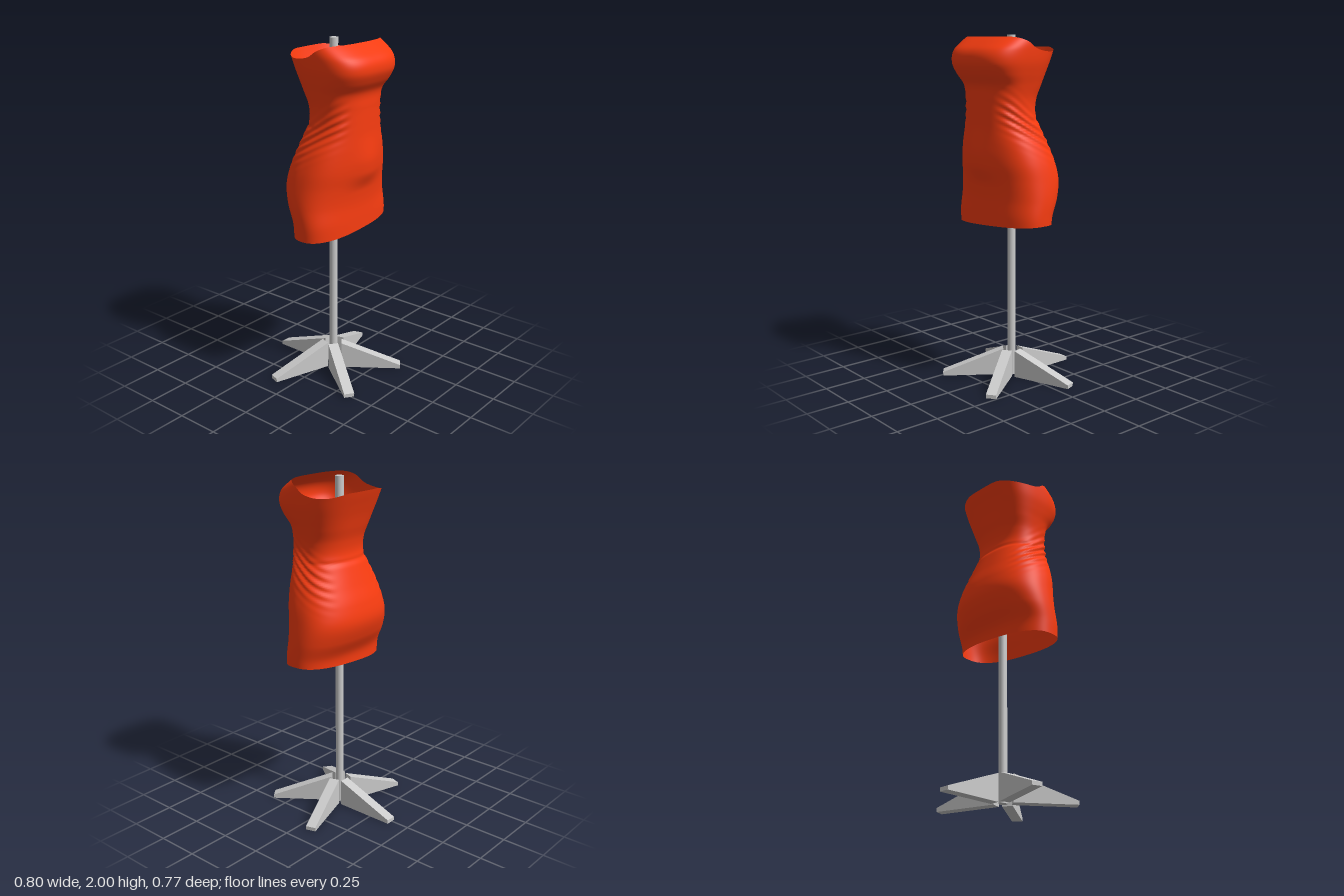
import * as THREE from 'three';

const CX = -0.005, CZ = 0.025; // stand axis

// Dress sections: height, half width, front z, back z, squareness
const SECTIONS = [
  [0.91, 0.337, 0.23, -0.08, 2.5],
  [1.0, 0.34, 0.23, -0.088, 2.5],
  [1.1, 0.338, 0.23, -0.138, 2.4],
  [1.2, 0.326, 0.24, -0.165, 2.4],
  [1.3, 0.307, 0.255, -0.15, 2.4],
  [1.4, 0.275, 0.262, -0.115, 2.4],
  [1.5, 0.232, 0.267, -0.08, 2.4],
  [1.57, 0.212, 0.266, -0.055, 2.5],
  [1.65, 0.21, 0.265, -0.06, 2.6],
  [1.73, 0.226, 0.27, -0.084, 2.8],
  [1.79, 0.243, 0.31, -0.103, 3],
  [1.85, 0.257, 0.334, -0.125, 3.1],
  [1.92, 0.263, 0.315, -0.152, 3.1],
  [1.96, 0.263, 0.265, -0.165, 3.1],
  [1.99, 0.26, 0.22, -0.17, 3.1],
];

const smooth = THREE.MathUtils.smoothstep;
const bell = (x, c, w) => Math.exp(-(((x - c) / w) ** 2));

function interpolant(rows) {
  const size = rows[0].length - 1;
  return new THREE.CubicInterpolant(
    rows.map(r => r[0]), rows.flatMap(r => r.slice(1)), size, new Float32Array(size));
}

// Neckline height from back (-1) to front (1)
const neckline = interpolant([[-1, 1.935], [-0.7, 1.912], [-0.16, 1.922], [0.37, 1.965], [0.75, 1.987], [1, 1.99]]);

function dressGeometry() {
  const section = interpolant(SECTIONS), rows = 110, cols = 128;
  const positions = [], index = [];
  for (let i = 0; i <= rows; i++) {
    const v = i / rows;
    for (let j = 0; j < cols; j++) {
      const a = (j / cols) * Math.PI * 2, s = Math.sin(a), c = Math.cos(a);
      // slanted hem below, curved neckline above
      const hem = 0.938 + 0.023 * s;
      const top = neckline.evaluate(THREE.MathUtils.clamp(c * 1.1, -1, 1))[0];
      const y = hem + (top - hem) * v;
      const [w, front, back, n] = section.evaluate(y);
      const k = (Math.abs(s) ** n + Math.abs(c) ** n) ** (-1 / n);
      // diagonal gathers at the sides of the waist, one crease across the back
      const side = smooth(Math.abs(s), 0.5, 0.95);
      const slant = y - 0.12 * c;
      let fold = 0.006 * side * bell(slant, 1.5, 0.09) * Math.sin(slant * 130 + s * 2);
      fold -= 0.006 * smooth(-c, 0, 0.6) * bell(y, 1.535, 0.012);
      const x = CX + s * k * (w + fold);
      let z = (front + back) / 2 + c * k * ((front - back) / 2 + fold);
      // rounded belly
      if (c > 0) z += 0.022 * c * bell(x, 0, 0.12) * smooth(y, 1.17, 1.28) * (1 - smooth(y, 1.33, 1.52));
      positions.push(x, y, z);
    }
  }
  for (let i = 0; i < rows; i++) {
    for (let j = 0; j < cols; j++) {
      const a = i * cols + j, b = i * cols + (j + 1) % cols;
      index.push(a, b, b + cols, a, b + cols, a + cols);
    }
  }
  const g = new THREE.BufferGeometry();
  g.setAttribute('position', new THREE.Float32BufferAttribute(positions, 3));
  g.setIndex(index);
  g.computeVertexNormals();
  return g;
}

export function createModel() {
  const model = new THREE.Group();
  model.name = 'dressOnStand';
  const grey = new THREE.MeshStandardMaterial({ color: 0xcccccc });
  const red = new THREE.MeshStandardMaterial({ color: 0xf83c10, side: THREE.DoubleSide });

  const dress = new THREE.Mesh(dressGeometry(), red);
  dress.name = 'dress';
  model.add(dress);

  // Upright pole
  const pole = new THREE.Mesh(new THREE.CylinderGeometry(0.024, 0.024, 2, 32), grey);
  pole.name = 'pole';
  pole.position.set(CX, 1, CZ);
  model.add(pole);

  // Five tapering feet, each set slightly off the pole's axis
  const profile = new THREE.Shape([[0, 0], [0.36, 0], [0.36, 0.022], [0, 0.16]].map(p => new THREE.Vector2(...p)));
  const footGeometry = new THREE.ExtrudeGeometry(profile, { depth: 0.06, bevelEnabled: false });
  footGeometry.translate(0.05, 0, -0.015);
  const base = new THREE.Group();
  base.name = 'base';
  base.position.set(CX, 0, CZ);
  for (let i = 0; i < 5; i++) {
    const foot = new THREE.Mesh(footGeometry, grey);
    foot.name = 'foot' + (i + 1);
    foot.rotation.y = Math.PI * (0.1 + 0.4 * i);
    base.add(foot);
  }
  model.add(base);
  return model;
}
